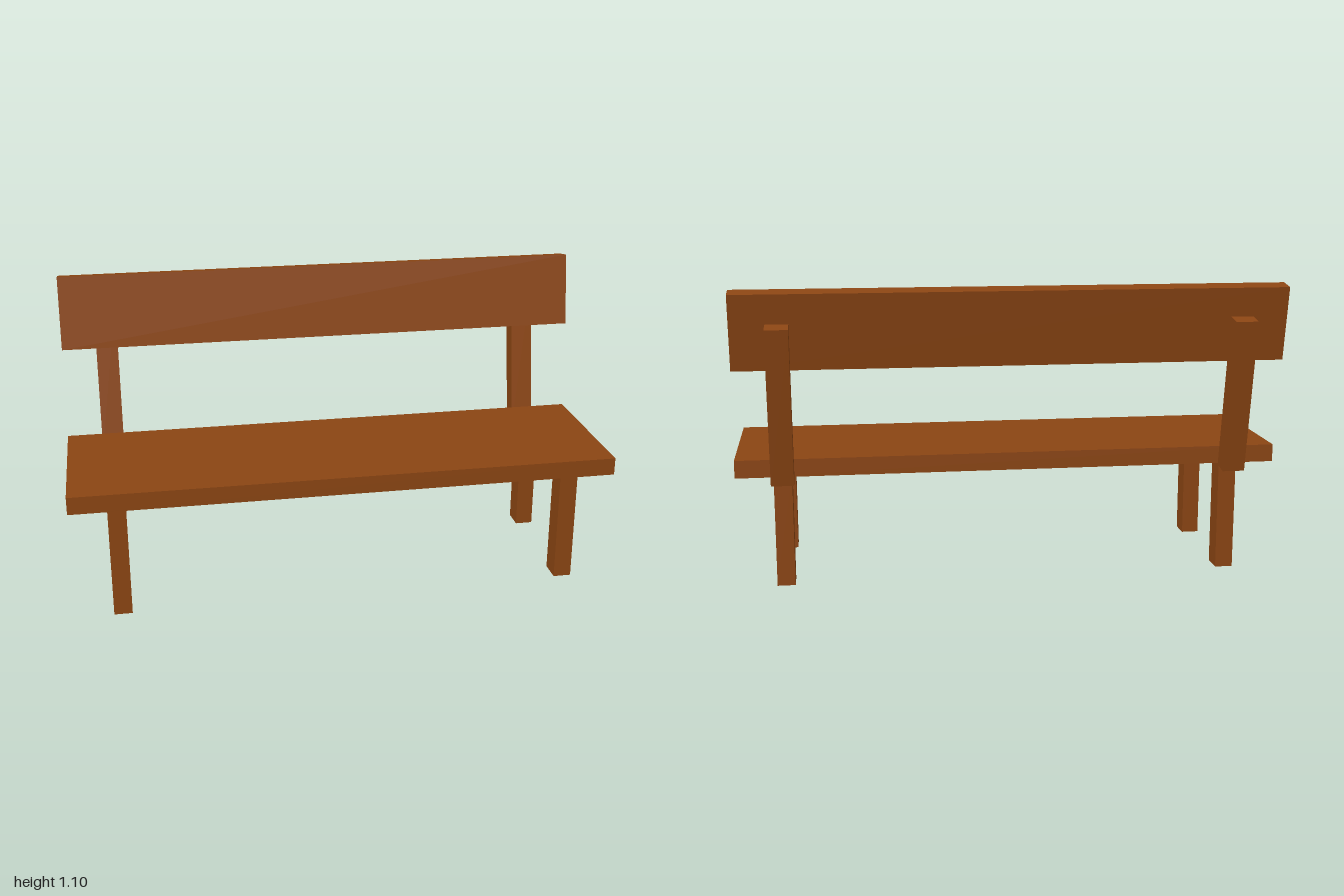
import * as THREE from 'three';

export function createModel() {
  const bench = new THREE.Group();
  bench.name = 'bench';
  const wood = new THREE.MeshStandardMaterial({ color: 0x8b4513 });
  wood.name = 'brown wood';
  const lean = THREE.MathUtils.degToRad(-9.9);

  function board(name, size, position, tilt = 0) {
    const mesh = new THREE.Mesh(new THREE.BoxGeometry(...size), wood);
    mesh.name = name;
    mesh.position.set(...position);
    mesh.rotation.x = tilt;
    bench.add(mesh);
  }

  // Seat plank
  board('seat', [2, 0.065, 0.582], [0, 0.4475, 0.083]);

  // Legs and leaning back posts, mirrored left and right
  for (const [side, s] of [['left', 1], ['right', -1]]) {
    board(`${side}FrontLeg`, [0.066, 0.415, 0.083], [s * 0.83, 0.2075, 0.318]);
    board(`${side}BackLeg`, [0.066, 0.415, 0.083], [s * 0.83, 0.2075, -0.15]);
    board(`${side}BackPost`, [0.082, 0.58, 0.066], [s * 0.829, 0.689, -0.289], lean);
  }

  // Backrest plank, fixed to the front of the posts
  board('backrest', [1.99, 0.275, 0.066], [-0.002, 0.956, -0.269], lean);

  return bench;
}
